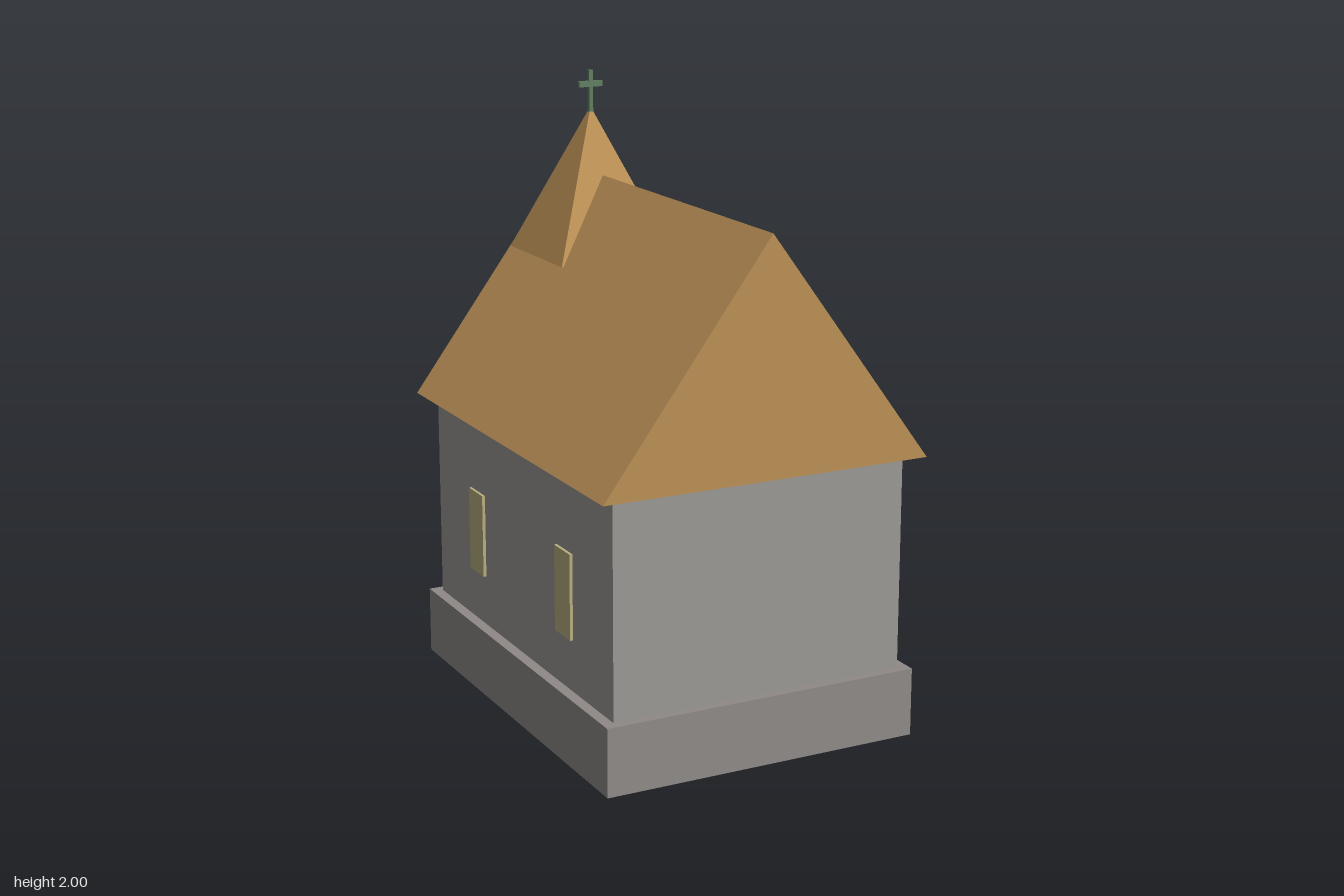
import * as THREE from 'three';

const mat = (color) => new THREE.MeshStandardMaterial({ color, flatShading: true });

export function createModel() {
  const chapel = new THREE.Group();
  chapel.name = 'chapel';

  const stone = mat(0x8f8a87);
  const plaster = mat(0x9a9894);
  const shingle = mat(0xbb9055);
  const glass = mat(0xb8ad80);
  const wood = mat(0x7a5a40);
  const iron = mat(0x4a4540);
  const patina = mat(0x5f8060);

  const add = (name, geometry, material, parent = chapel) => {
    const mesh = new THREE.Mesh(geometry, material);
    mesh.name = name;
    parent.add(mesh);
    return mesh;
  };
  // Box given by its extents along each axis
  const box = (name, [x0, x1], [y0, y1], [z0, z1], material, parent) => {
    const g = new THREE.BoxGeometry(x1 - x0, y1 - y0, z1 - z0);
    g.translate((x0 + x1) / 2, (y0 + y1) / 2, (z0 + z1) / 2);
    return add(name, g, material, parent);
  };

  // Plinth and walls
  box('plinth', [-0.533, 0.533], [0, 0.222], [-0.698, 0.698], stone);
  box('walls', [-0.497, 0.497], [0.222, 0.92], [-0.667, 0.667], plaster);

  // Gabled roof: triangular prism along z
  const gable = new THREE.Shape();
  gable.moveTo(-0.552, 0.918);
  gable.lineTo(0.552, 0.918);
  gable.lineTo(0, 1.664);
  gable.closePath();
  const roof = new THREE.ExtrudeGeometry(gable, { depth: 1.436, bevelEnabled: false });
  roof.translate(0, 0, -0.718);
  add('roof', roof, shingle);

  // Two windows on each long side
  for (const side of [-1, 1]) {
    for (const z of [-0.334, 0.334]) {
      box('window', [side * 0.5 - 0.007, side * 0.5 + 0.007], [0.39, 0.667],
        [z - 0.055, z + 0.055], glass);
    }
  }

  // Entrance at the back: raised wall panel, door, lintel and knob
  const entrance = new THREE.Group();
  entrance.name = 'entrance';
  chapel.add(entrance);
  box('entrancePanel', [-0.18, 0.18], [0.222, 0.919], [-0.677, -0.66], plaster, entrance);
  box('door', [-0.093, 0.093], [0.222, 0.472], [-0.681, -0.67], wood, entrance);
  box('lintel', [-0.12, 0.12], [0.472, 0.492], [-0.687, -0.67], wood, entrance);
  const knob = add('doorKnob', new THREE.SphereGeometry(0.007, 10, 8), iron, entrance);
  knob.position.set(-0.068, 0.35, -0.681);

  // Square spire astride the ridge
  const spire = new THREE.ConeGeometry(0.205 * Math.SQRT2, 0.485, 4);
  spire.rotateY(Math.PI / 4);
  spire.translate(0, 1.395 + 0.2425, -0.5);
  add('spire', spire, shingle);

  // Cross on the spire tip
  const cross = new THREE.Group();
  cross.name = 'cross';
  chapel.add(cross);
  box('crossPost', [-0.007, 0.007], [1.86, 2], [-0.507, -0.493], patina, cross);
  box('crossBar', [-0.042, 0.042], [1.945, 1.964], [-0.507, -0.493], patina, cross);

  return chapel;
}
